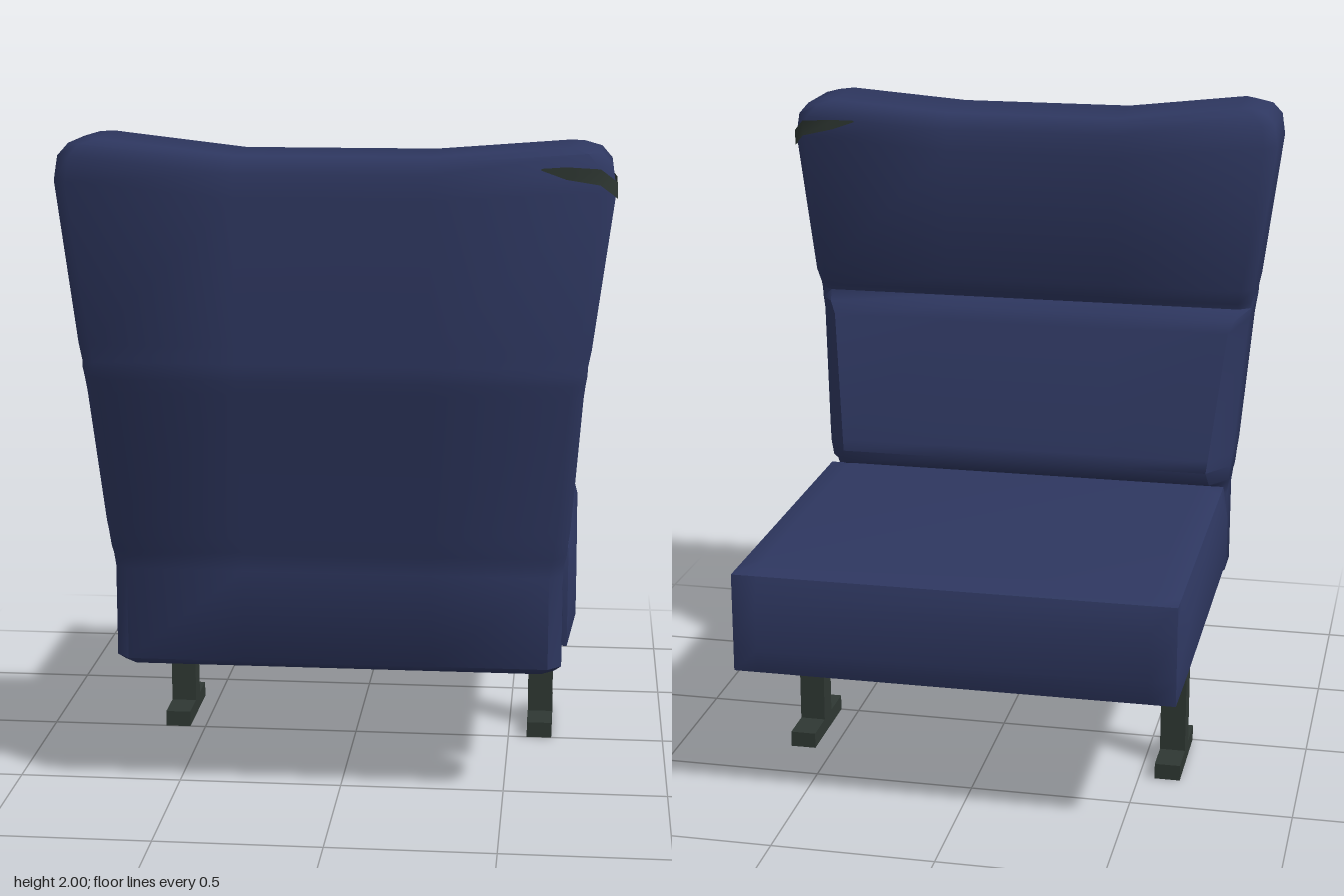
import * as THREE from 'three';
import { toCreasedNormals } from 'three/addons/utils/BufferGeometryUtils.js';

const fabric = new THREE.MeshStandardMaterial({ color: 0x2e3760 });
fabric.name = 'navy fabric';
const metal = new THREE.MeshStandardMaterial({ color: 0x2f3833, side: THREE.DoubleSide });
metal.name = 'dark green metal';

function add(group, name, geometry, material, x = 0, y = 0, z = 0) {
  const mesh = new THREE.Mesh(geometry, material);
  mesh.name = name;
  mesh.position.set(x, y, z);
  group.add(mesh);
}

function polygonGeometry(points, index) {
  const geo = new THREE.BufferGeometry();
  geo.setAttribute('position', new THREE.Float32BufferAttribute(points, 3));
  geo.setIndex(index);
  geo.computeVertexNormals();
  return geo;
}

// Box whose six faces each puff out, leaving straight seams along the edges
function cushionGeometry(w, h, d, inset, puff) {
  const geo = new THREE.BoxGeometry(w, h, d, 3, 3, 3);
  const pos = geo.attributes.position;
  const half = [w / 2, h / 2, d / 2];
  for (let i = 0; i < pos.count; i++) {
    const p = [pos.getX(i), pos.getY(i), pos.getZ(i)];
    const outer = p.map((v, k) => Math.abs(v) > half[k] * 0.9);
    const onFace = outer.filter(Boolean).length === 1;
    const q = p.map((v, k) => Math.sign(v) * (outer[k] ? half[k] + (onFace ? puff : 0) : half[k] - inset));
    pos.setXYZ(i, ...q);
  }
  geo.computeVertexNormals();
  return geo;
}

// Backrest lofted upwards through chamfered rings
function backrestGeometry() {
  // height, half width, seat-side z, rear z, depth of the seat-side chamfer
  const rows = [
    [0.41, 0.65, 0.44, 0.60, 0.02], [0.43, 0.67, 0.42, 0.62, 0.03],
    [0.71, 0.67, 0.42, 0.62, 0.03], [0.75, 0.675, 0.38, 0.624, 0.05],
    [0.77, 0.68, 0.32, 0.629, 0.08], [0.82, 0.685, 0.29, 0.64, 0.1],
    [0.86, 0.69, 0.30, 0.648, 0.1], [1.27, 0.72, 0.39, 0.737, 0.08],
    [1.31, 0.725, 0.41, 0.746, 0.06], [1.34, 0.73, 0.45, 0.75, 0.03],
    [1.36, 0.73, 0.44, 0.75, 0.03], [1.41, 0.74, 0.41, 0.75, 0.04],
    [1.88, 0.80, 0.41, 0.75, 0.04], [1.95, 0.79, 0.415, 0.743, 0.04],
    [1.985, 0.76, 0.43, 0.73, 0.03], [2.0, 0.71, 0.45, 0.71, 0.02],
  ];
  const points = [], index = [], n = 12;
  const quad = (a, b, c, d) => index.push(a, b, c, a, c, d);
  rows.forEach(([y, w, zf, zb, dz], r) => {
    const c = 0.04, e = w - c, f = w - Math.max(c, dz * 0.7);
    const ring = [
      [-e, zb], [-0.28, zb], [0.28, zb], [e, zb], [w, zb - c], [w, zf + dz],
      [f, zf], [0.28, zf], [-0.28, zf], [-f, zf], [-w, zf + dz], [-w, zb - c],
    ];
    for (const [x, z] of ring) {
      // the top edge sags in the middle
      const dip = y < 1.8 ? 0 : Math.abs(x) < 0.3 ? 0.045 : x > 0 ? 0.015 : 0;
      points.push(x, y - dip, z);
    }
    if (r === 0) return;
    for (let i = 0; i < n; i++) {
      const j = (i + 1) % n, lo = (r - 1) * n, hi = r * n;
      quad(lo + i, lo + j, hi + j, hi + i);
    }
  });
  // top and bottom caps
  const t = (rows.length - 1) * n;
  for (const [a, b, c, d] of [[0, 1, 8, 9], [1, 2, 7, 8], [2, 3, 6, 7], [3, 4, 5, 6], [9, 10, 11, 0]]) {
    quad(t + a, t + b, t + c, t + d);
    quad(d, c, b, a);
  }
  return toCreasedNormals(polygonGeometry(points, index), 0.95);
}

// Thin strip wrapped round the upper left corner of the backrest
function gripGeometry() {
  // x, z, lower edge, upper edge
  const path = [
    [0.59, 0.755, 1.925, 1.93], [0.66, 0.755, 1.90, 1.935], [0.755, 0.755, 1.885, 1.93],
    [0.803, 0.712, 1.845, 1.89], [0.805, 0.66, 1.835, 1.86], [0.805, 0.56, 1.83, 1.865],
    [0.805, 0.45, 1.83, 1.88], [0.765, 0.404, 1.87, 1.92], [0.66, 0.404, 1.895, 1.925],
    [0.59, 0.404, 1.92, 1.925],
  ];
  const points = [], index = [];
  path.forEach(([x, z, lo, hi], i) => {
    points.push(x, lo, z, x, hi, z);
    if (i) {
      const a = 2 * i - 2;
      index.push(a, a + 2, a + 3, a, a + 3, a + 1);
    }
  });
  return polygonGeometry(points, index);
}

export function createModel() {
  const model = new THREE.Group();
  model.name = 'benchSeat';

  add(model, 'backrest', backrestGeometry(), fabric);
  add(model, 'cornerGrip', gripGeometry(), metal);
  add(model, 'seatCushion', cushionGeometry(1.35, 0.31, 1.12, 0.08, 0.025), fabric, 0.01, 0.59, -0.17);

  // Pedestal legs with flat feet
  for (const [side, x] of [['right', -0.59], ['left', 0.6]]) {
    const leg = new THREE.Group();
    leg.name = side + 'Leg';
    add(leg, 'post', new THREE.BoxGeometry(0.08, 0.38, 0.08), metal, x, 0.235, -0.16);
    add(leg, 'foot', new THREE.BoxGeometry(0.08, 0.05, 0.315), metal, x, 0.025, -0.157);
    model.add(leg);
  }
  return model;
}
